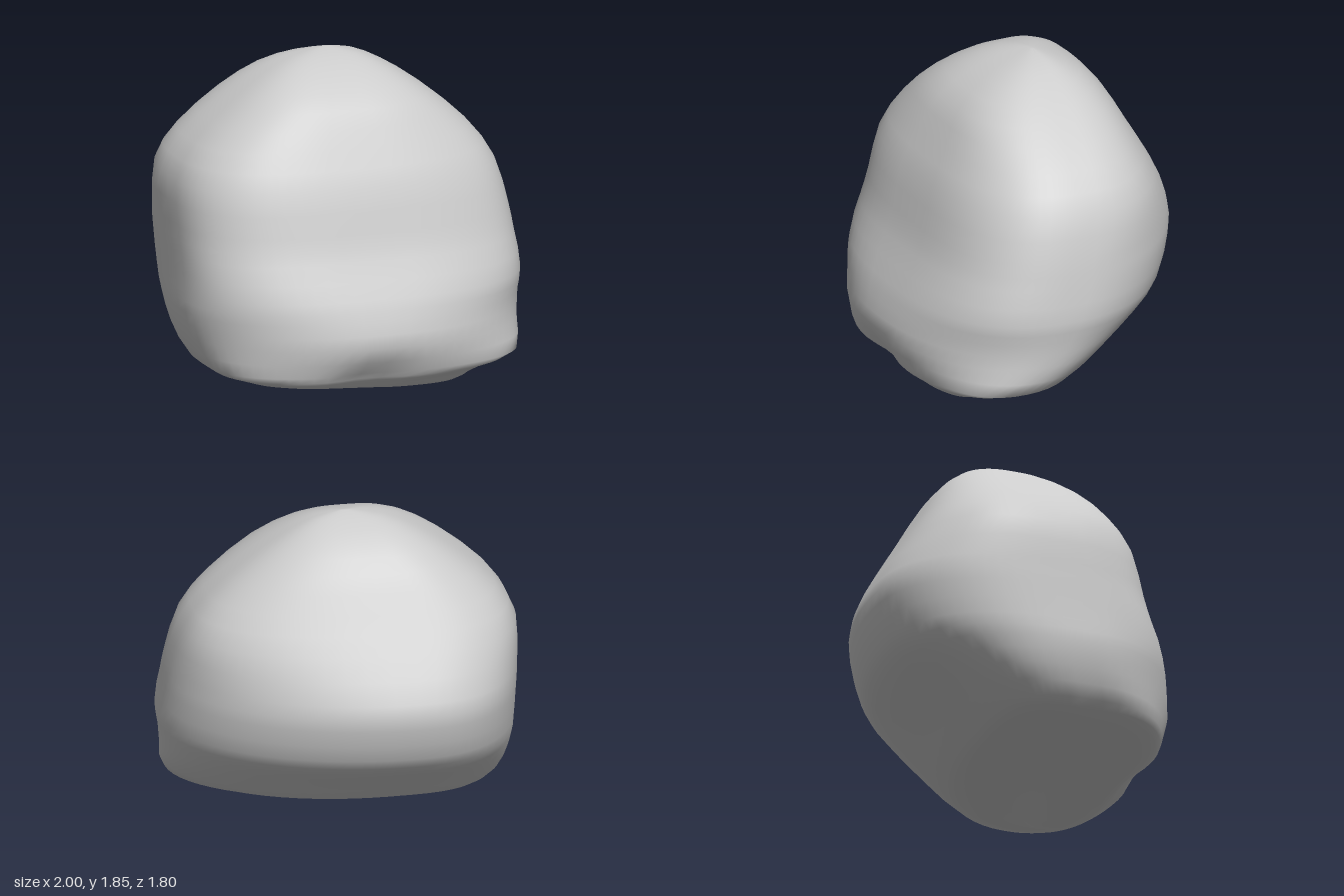
import * as THREE from 'three';

// Horizontal sections, bottom to top: [y, xMin, xMax, zBack, zFront, z of xMin, z of xMax]
const SECTIONS = [
  [0.00, 0.28, 0.36, 0.42, 0.48, 0.45, 0.45],
  [0.04, -0.10, 0.54, 0.30, 0.68, 0.45, 0.48],
  [0.08, -0.60, 0.62, 0.12, 0.75, 0.38, 0.48],
  [0.12, -0.79, 0.72, -0.18, 0.81, 0.30, 0.45],
  [0.17, -0.90, 0.91, -0.28, 0.84, 0.27, 0.40],
  [0.33, -0.97, 0.96, -0.50, 0.90, 0.20, 0.24],
  [0.48, -1.00, 0.98, -0.73, 0.87, 0.16, 0.16],
  [0.60, -1.00, 1.00, -0.83, 0.83, 0.12, 0.10],
  [0.80, -1.00, 0.98, -0.89, 0.74, 0.06, 0.03],
  [0.95, -1.00, 0.96, -0.88, 0.69, 0.01, 0.00],
  [1.20, -0.99, 0.90, -0.74, 0.62, -0.05, -0.06],
  [1.40, -0.87, 0.76, -0.62, 0.52, -0.08, -0.08],
  [1.60, -0.64, 0.53, -0.50, 0.41, -0.09, -0.09],
  [1.74, -0.43, 0.32, -0.36, 0.23, -0.09, -0.09],
  [1.82, -0.24, 0.15, -0.20, 0.05, -0.09, -0.09],
  [1.85, -0.06, 0.00, -0.10, -0.08, -0.09, -0.09],
];
const SEGMENTS = 64;
const STEPS = 2;
const { smoothstep, clamp } = THREE.MathUtils;

// Smooth (Catmull-Rom) section at a fractional position along the list
function sectionAt(t) {
  const last = SECTIONS.length - 1;
  const i = Math.min(Math.floor(t), last - 1), f = t - i;
  const [a, b, c, d] = [-1, 0, 1, 2].map((k) => SECTIONS[clamp(i + k, 0, last)]);
  return b.map((v, k) => v + 0.5 * f * (c[k] - a[k]
    + f * (2 * a[k] - 5 * v + 4 * c[k] - d[k] + f * (3 * (v - c[k]) + d[k] - a[k]))));
}

// How square each corner of a section is at a given height
function cornerPower(y, right, front) {
  if (front) return 2.2 + 0.7 * smoothstep(y, 0.35, 0.75) + 0.5 * (1 - smoothstep(y, 0.1, 0.3));
  if (right) return 2.4 + 0.9 * (1 - smoothstep(y, 0.2, 0.5)) + 0.2 * smoothstep(y, 1, 1.3);
  return 2 + 0.3 * smoothstep(y, 0.9, 1.2);
}

// Each quadrant is a superellipse arc; the rear extreme sits toward the model's right
function sectionPoint([y, x0, x1, zBack, zFront, zRight, zLeft], angle) {
  const c = Math.cos(angle), s = Math.sin(angle);
  const half = (x1 - x0) / 2;
  const cx = x0 + half * (s >= 0 ? 1 : 0.72);
  const zs = c < 0 ? zRight : zLeft;
  const power = cornerPower(y, c < 0, s > 0);
  const round = (v) => Math.sign(v) * Math.pow(Math.abs(v), 2 / power);
  const x = cx + round(c) * (c >= 0 ? x1 - cx : cx - x0);
  let z = zs + round(s) * (s >= 0 ? zFront - zs : zs - zBack);
  // shallow hollow at the foot of the front face
  if (s > 0) z -= 0.05 * s * Math.exp(-((x + 0.1) ** 2) / 0.03 - ((y - 0.14) ** 2) / 0.008);
  return [x, y, z];
}

function rockGeometry() {
  const positions = [], index = [];
  const rows = (SECTIONS.length - 1) * STEPS;
  for (let r = 0; r <= rows; r++) {
    const section = sectionAt(r / STEPS);
    for (let i = 0; i < SEGMENTS; i++) {
      positions.push(...sectionPoint(section, (i / SEGMENTS) * Math.PI * 2));
    }
  }
  for (let r = 0; r < rows; r++) {
    for (let i = 0; i < SEGMENTS; i++) {
      const j = (i + 1) % SEGMENTS;
      const a = r * SEGMENTS + i, b = r * SEGMENTS + j;
      index.push(a, a + SEGMENTS, b, b, a + SEGMENTS, b + SEGMENTS);
    }
  }
  // Close the tiny first and last sections
  const top = rows * SEGMENTS;
  for (let i = 1; i < SEGMENTS - 1; i++) {
    index.push(0, i, i + 1, top, top + i + 1, top + i);
  }
  const geometry = new THREE.BufferGeometry();
  geometry.setAttribute('position', new THREE.Float32BufferAttribute(positions, 3));
  geometry.setIndex(index);
  geometry.computeVertexNormals();
  return geometry;
}

export function createModel() {
  const group = new THREE.Group();
  group.name = 'boulder';
  const rock = new THREE.Mesh(rockGeometry(), new THREE.MeshStandardMaterial({ color: 0xcccccc }));
  rock.name = 'rock';
  group.add(rock);
  return group;
}
